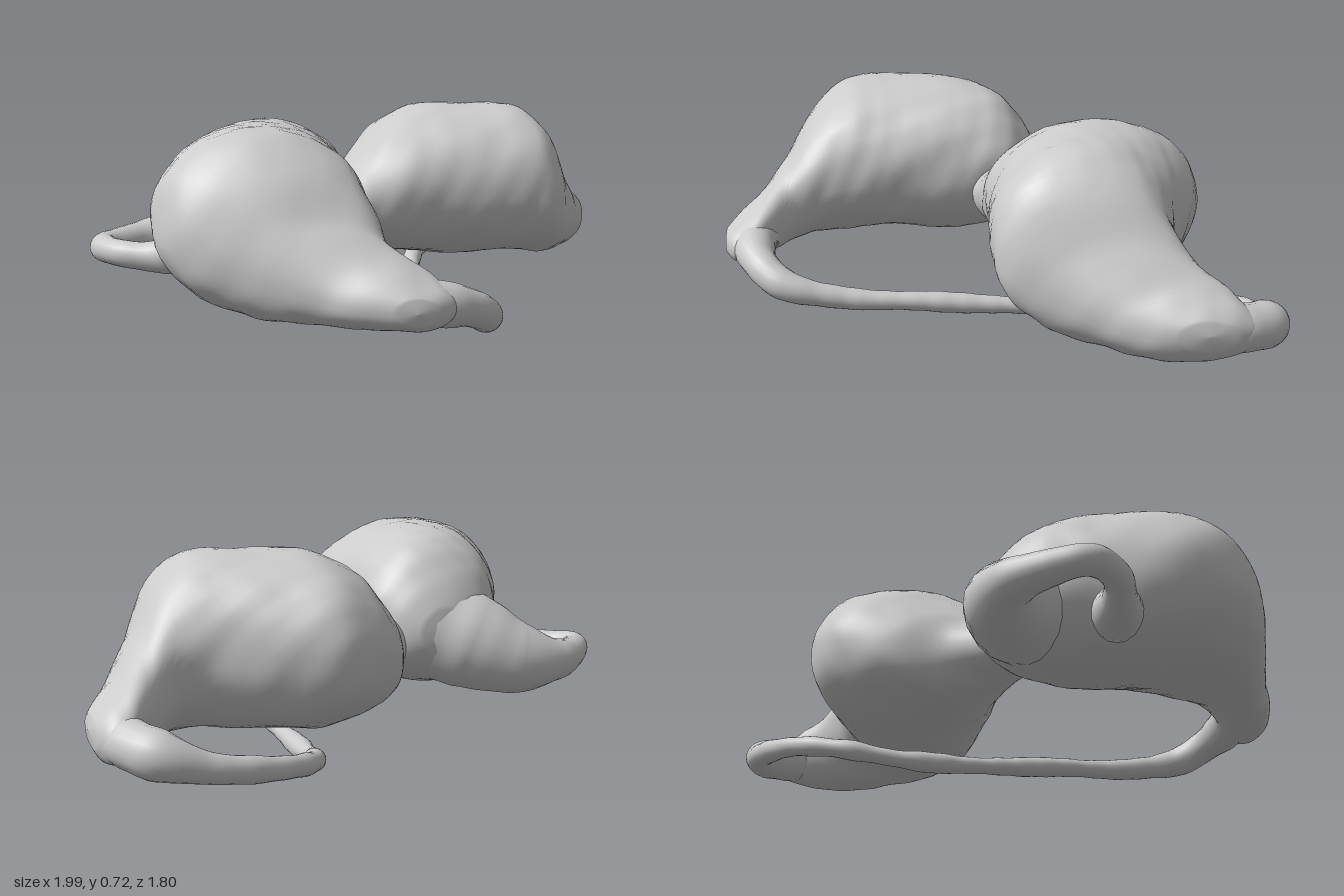
import * as THREE from 'three';

const grey = new THREE.MeshStandardMaterial({ color: 0xcccccc, side: THREE.DoubleSide });

// Gentle hand-worked unevenness
const ripple = (x, y, z) =>
  Math.sin(19 * x + 4) * Math.sin(21 * y + 1) * Math.sin(17 * z) +
  0.4 * Math.sin(37 * x + 21 * z) * Math.sin(43 * z - 17 * x + 30 * y);

// Builds a closed skin from rings; ringPoint(t, angle) returns a Vector3
function skin(name, rows, cols, ringPoint) {
  const pos = [], index = [];
  for (let i = 0; i <= rows; i++) {
    for (let j = 0; j < cols; j++) {
      pos.push(...ringPoint(i / rows, (j / cols) * Math.PI * 2).toArray());
      if (i === rows) continue;
      const a = i * cols + j, b = i * cols + (j + 1) % cols;
      index.push(a, b, a + cols, b, b + cols, a + cols);
    }
  }
  const geo = new THREE.BufferGeometry();
  geo.setAttribute('position', new THREE.Float32BufferAttribute(pos, 3));
  geo.setIndex(index);
  geo.computeVertexNormals();
  const mesh = new THREE.Mesh(geo, grey);
  mesh.name = name;
  return mesh;
}

// Pouch lofted along x or z; each section is [along, side min, side max, bottom, top]
function pouch(name, axis, sections) {
  const spans = new THREE.CatmullRomCurve3(sections.map(s => new THREE.Vector3(s[0], s[1], s[2])), false, 'centripetal');
  const heights = new THREE.CatmullRomCurve3(sections.map(s => new THREE.Vector3(s[0], s[3], s[4])), false, 'centripetal');
  const hand = axis === 'z' ? 1 : -1;
  return skin(name, 64, 56, (t, a) => {
    const s = spans.getPoint(t), h = heights.getPoint(t);
    const end = t === 0 || t === 1 ? 0 : 1;
    const c = Math.cos(a), n = Math.sin(a);
    // Round crown, slightly flatter underside
    const lift = n < 0 ? -(Math.abs(n) ** 0.88) : n ** 0.97;
    const side = (s.y + s.z) / 2 + end * hand * c * (s.z - s.y) / 2;
    const y = (h.y + h.z) / 2 + end * lift * (h.z - h.y) / 2;
    const p = axis === 'z' ? new THREE.Vector3(side, y, s.x) : new THREE.Vector3(s.x, y, side);
    const k = 0.006 * end * ripple(p.x, p.y, p.z);
    p.y += n * k;
    p[axis === 'z' ? 'x' : 'z'] += hand * c * k;
    return p;
  });
}

// Strap of varying thickness; each knot is [x, y, z, radius]
function strap(name, knots, rows) {
  const path = new THREE.CatmullRomCurve3(knots.map(k => new THREE.Vector3(k[0], k[1], k[2])));
  const up = new THREE.Vector3(0, 1, 0);
  return skin(name, rows, 20, (t, a) => {
    const p = path.getPoint(t), dir = path.getTangent(t);
    const f = t * (knots.length - 1), i = Math.min(Math.floor(f), knots.length - 2);
    let r = THREE.MathUtils.lerp(knots[i][3], knots[i + 1][3], f - i);
    r = t === 0 || t === 1 ? 0 : r + 0.005 * ripple(p.x, p.y, p.z);
    const u = new THREE.Vector3().crossVectors(up, dir).normalize();
    const v = new THREE.Vector3().crossVectors(dir, u);
    return p.addScaledVector(u, r * Math.cos(a)).addScaledVector(v, r * Math.sin(a));
  });
}

export function createModel() {
  const model = new THREE.Group();
  model.name = 'pairedPouches';

  // Right pouch, tapering forwards
  model.add(pouch('rightPouch', 'z', [
    [-0.27, -0.42, -0.26, 0.30, 0.43],
    [-0.21, -0.52, -0.17, 0.23, 0.55],
    [-0.11, -0.60, -0.11, 0.17, 0.66],
    [0.04, -0.68, -0.10, 0.14, 0.71],
    [0.30, -0.79, -0.10, 0.14, 0.715],
    [0.45, -0.78, -0.10, 0.14, 0.70],
    [0.57, -0.71, -0.09, 0.14, 0.61],
    [0.67, -0.54, -0.06, 0.14, 0.46],
    [0.77, -0.33, 0.06, 0.14, 0.35],
    [0.85, -0.20, 0.08, 0.15, 0.29],
    [0.895, -0.09, 0.00, 0.18, 0.25],
  ]));

  // Left pouch, narrowing to the bridge on one side and the tail on the other
  model.add(pouch('leftPouch', 'x', [
    [-0.24, -0.17, -0.04, 0.26, 0.40],
    [-0.12, -0.32, 0.00, 0.23, 0.45],
    [-0.06, -0.50, -0.01, 0.20, 0.50],
    [0.01, -0.61, -0.02, 0.18, 0.57],
    [0.10, -0.69, -0.02, 0.16, 0.65],
    [0.24, -0.74, -0.02, 0.14, 0.71],
    [0.42, -0.67, -0.01, 0.14, 0.715],
    [0.60, -0.58, 0.00, 0.15, 0.71],
    [0.70, -0.57, -0.02, 0.14, 0.64],
    [0.80, -0.64, -0.17, 0.13, 0.48],
    [0.89, -0.75, -0.32, 0.13, 0.37],
    [0.95, -0.76, -0.43, 0.15, 0.32],
    [0.99, -0.67, -0.54, 0.21, 0.28],
  ]));

  // Long strap from the right tail, beneath the left pouch, to the left tail
  model.add(strap('longStrap', [
    [-0.16, 0.23, 0.74, 0.07], [0.01, 0.22, 0.785, 0.075], [0.15, 0.19, 0.755, 0.06],
    [0.225, 0.14, 0.67, 0.05], [0.24, 0.09, 0.45, 0.036], [0.235, 0.07, 0.2, 0.034],
    [0.23, 0.05, 0, 0.033], [0.23, 0.037, -0.2, 0.033], [0.24, 0.04, -0.4, 0.033],
    [0.29, 0.075, -0.6, 0.035], [0.40, 0.11, -0.74, 0.035], [0.55, 0.14, -0.82, 0.038],
    [0.70, 0.17, -0.85, 0.05], [0.83, 0.21, -0.82, 0.07], [0.90, 0.23, -0.70, 0.075],
    [0.89, 0.24, -0.56, 0.06],
  ], 140));

  // Broad strap falling from the right pouch and looping back to it
  model.add(strap('backLoop', [
    [-0.32, 0.38, -0.07, 0.19], [-0.47, 0.32, -0.17, 0.175], [-0.61, 0.265, -0.25, 0.135],
    [-0.75, 0.25, -0.275, 0.08], [-0.87, 0.25, -0.20, 0.055], [-0.95, 0.255, -0.09, 0.047],
    [-0.89, 0.25, 0.01, 0.045], [-0.77, 0.245, 0.065, 0.055], [-0.60, 0.28, 0.12, 0.10],
  ], 80));

  return model;
}
